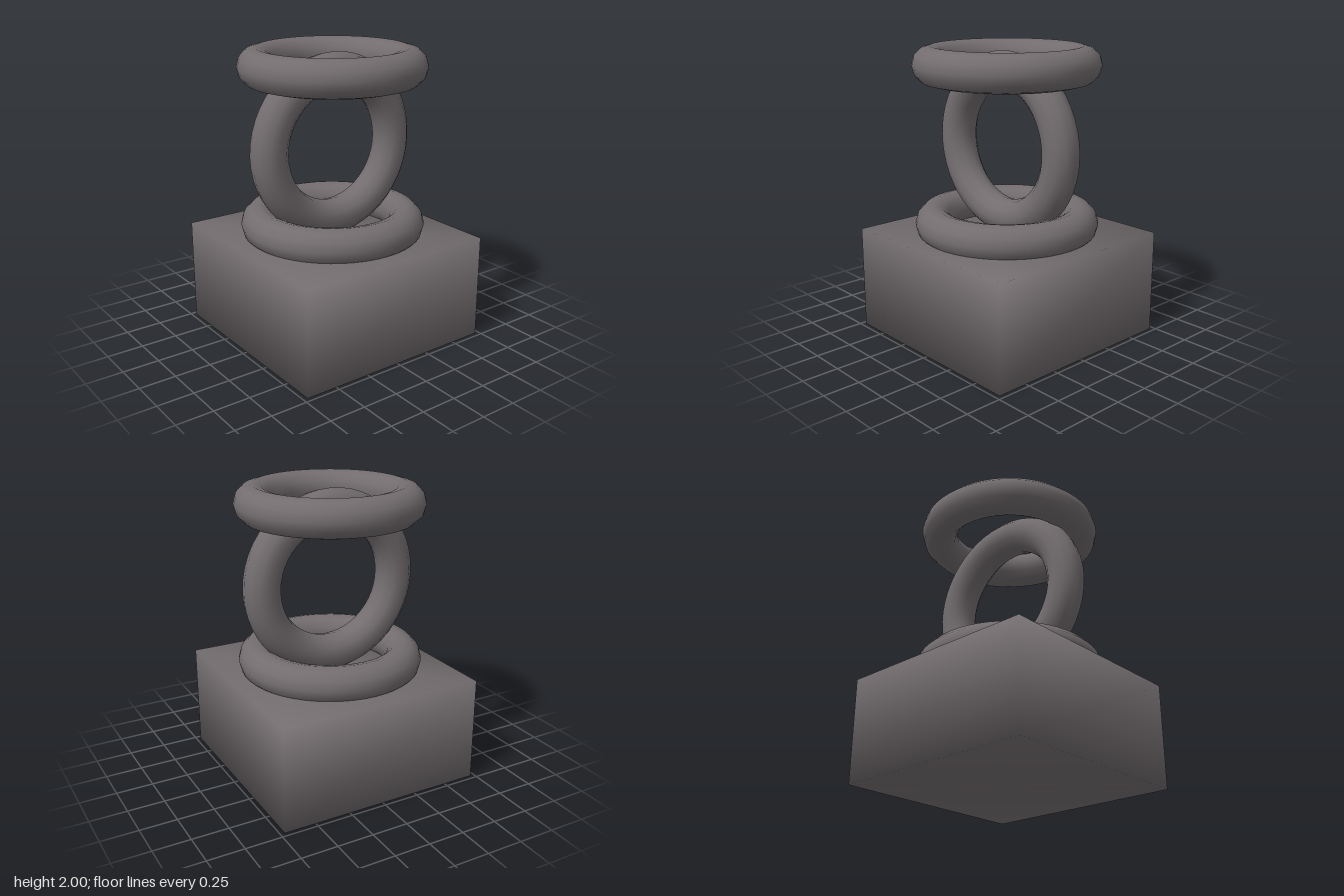
import * as THREE from 'three';
import { mergeVertices } from 'three/addons/utils/BufferGeometryUtils.js';

export function createModel() {
  const model = new THREE.Group();
  const iron = new THREE.MeshStandardMaterial({ color: 0x736d6f });
  iron.name = 'dark iron';

  const add = (name, geometry, y) => {
    const mesh = new THREE.Mesh(geometry, iron);
    mesh.name = name;
    mesh.position.y = y;
    model.add(mesh);
    return mesh;
  };

  // Base block, with normals shared softly across its corners
  const box = new THREE.BoxGeometry(1.44, 0.72, 1.44);
  box.deleteAttribute('normal');
  box.deleteAttribute('uv');
  const block = mergeVertices(box);
  block.computeVertexNormals();
  add('baseBlock', block, 0.36);

  // Three equal chain links: flat, upright, flat
  const ring = new THREE.TorusGeometry(0.505, 0.125, 12, 48);
  add('lowerRing', ring, 0.795).rotation.x = Math.PI / 2;
  add('uprightRing', ring, 1.335).rotation.y = Math.PI / 2;
  add('upperRing', ring, 1.875).rotation.x = Math.PI / 2;

  return model;
}
